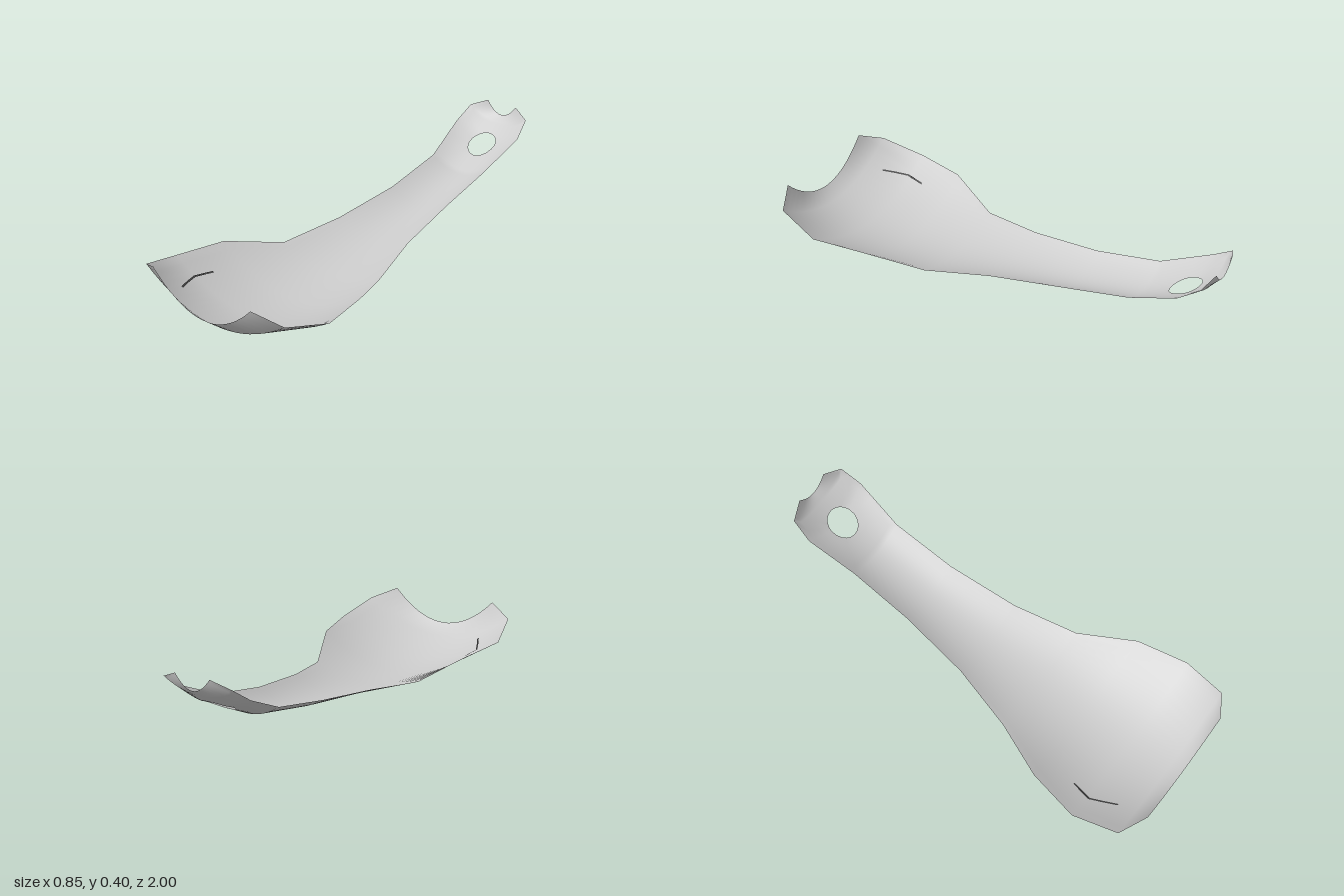
import * as THREE from 'three';
import { mergeVertices } from 'three/addons/utils/BufferGeometryUtils.js';

// Cross-sections along the length: z, half width, centre height, edge height
const STATIONS = [
  [-1, 0.08, 0.347, 0.405],
  [-0.97, 0.16, 0.322, 0.37],
  [-0.88, 0.177, 0.257, 0.308],
  [-0.66, 0.15, 0.155, 0.21],
  [-0.36, 0.157, 0.096, 0.15],
  [-0.03, 0.195, 0.055, 0.107],
  [0.26, 0.268, 0.018, 0.073],
  [0.51, 0.38, 0.004, 0.143],
  [0.74, 0.424, 0.017, 0.156],
  [0.94, 0.38, 0.075, 0.214],
  [1, 0.265, 0.126, 0.267],
];
const COLUMNS = 20;
const HOLE = { z: -0.845, radius: 0.065 };

// Section values at any z
function section(z) {
  let i = 0;
  while (i < STATIONS.length - 2 && z > STATIONS[i + 1][0]) i++;
  const a = STATIONS[i], b = STATIONS[i + 1];
  const t = (z - a[0]) / (b[0] - a[0]);
  return a.map((v, k) => v + (b[k] - v) * t);
}

// Point of the dished surface above (x, z): each section is a parabola
function surfacePoint(x, z, lift = 0) {
  const [, half, centre, edge] = section(z);
  return [x, centre + (edge - centre) * (x / half) ** 2 + lift, z];
}

// Triangles joining successive rows of points
function skin(rows, out = []) {
  for (let r = 0; r < rows.length - 1; r++) {
    for (let c = 0; c < rows[r].length - 1; c++) {
      const a = rows[r][c], b = rows[r + 1][c], d = rows[r][c + 1], e = rows[r + 1][c + 1];
      out.push(...a, ...b, ...d, ...d, ...b, ...e);
    }
  }
  return out;
}

function smoothGeometry(triangles) {
  const g = new THREE.BufferGeometry();
  g.setAttribute('position', new THREE.Float32BufferAttribute(triangles, 3));
  const merged = mergeVertices(g, 1e-4);
  merged.computeVertexNormals();
  return merged;
}

const across = (z) => Array.from({ length: COLUMNS + 1 }, (_, i) =>
  surfacePoint((2 * i / COLUMNS - 1) * section(z)[1], z));

// Ring of surface between the round hole and the rim of the handle end
function holePatch(zBack, zFront) {
  const side = [zFront, -0.735, -0.81, -0.88, -0.925, zBack];
  const right = side.map((z) => surfacePoint(section(z)[1], z));
  const left = side.map((z) => surfacePoint(-section(z)[1], z)).reverse();
  const rim = [...across(zFront), ...right.slice(1), ...across(zBack).reverse().slice(1), ...left.slice(1)];
  const steps = 5;
  return Array.from({ length: steps + 1 }, (_, s) => rim.map((p) => {
    if (s === steps) return p;
    const dx = p[0], dz = p[2] - HOLE.z, len = Math.hypot(dx, dz);
    const k = HOLE.radius / len;
    const t = k + (1 - k) * s / steps;
    return surfacePoint(dx * t, HOLE.z + dz * t);
  }));
}

export function createModel() {
  const group = new THREE.Group();
  group.name = 'shoehorn';
  const paleGrey = new THREE.MeshStandardMaterial({ color: 0xcccccc, side: THREE.DoubleSide });
  paleGrey.name = 'paleGrey';
  const darkGrey = new THREE.MeshStandardMaterial({ color: 0x444444, side: THREE.DoubleSide });
  darkGrey.name = 'darkGrey';

  // Dished blade and handle, with the hanging hole
  const z = STATIONS.map((s) => s[0]);
  const triangles = skin([across(z[0]), across(z[1])]);
  skin(holePatch(z[1], z[3]), triangles);
  skin(z.slice(3).map(across), triangles);
  const blade = new THREE.Mesh(smoothGeometry(triangles), paleGrey);
  blade.name = 'bladeAndHandle';
  group.add(blade);

  // Thin bent mark on the inside of the blade
  const path = [[-0.293, 0.66], [-0.31, 0.75], [-0.285, 0.81], [-0.26, 0.865]];
  const rows = path.map(([x, pz]) => [-0.004, 0.004].map((o) => surfacePoint(x + o, pz, 0.005)));
  const mark = new THREE.Mesh(smoothGeometry(skin(rows)), darkGrey);
  mark.name = 'bladeMark';
  group.add(mark);

  return group;
}
